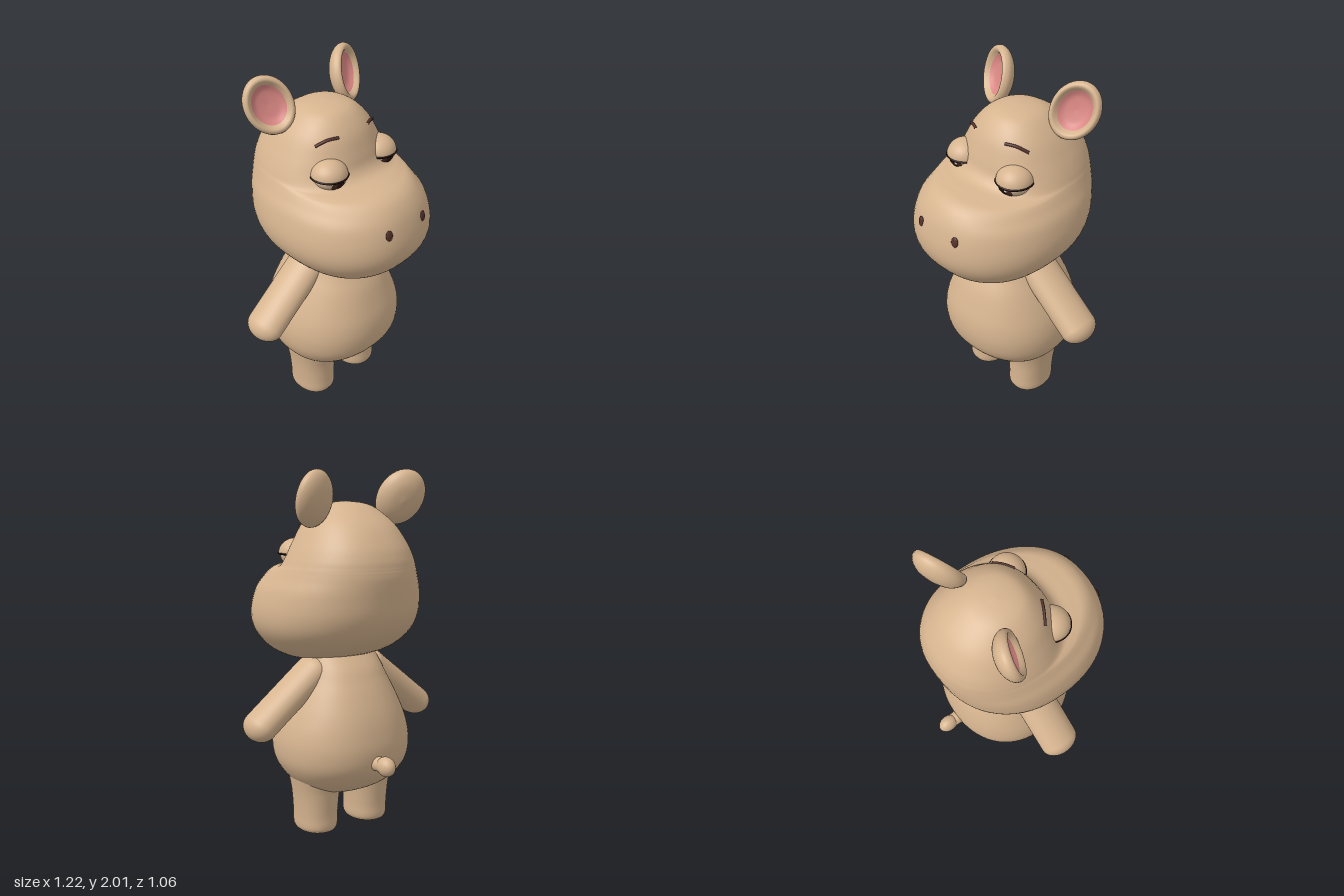
import * as THREE from 'three';
import { mergeVertices } from 'three/addons/utils/BufferGeometryUtils.js';

const material = (name, color) => {
  const m = new THREE.MeshStandardMaterial({ color });
  m.name = name;
  return m;
};

const POWER = 2.2; // roundness of the cross-sections

// Catmull-Rom blend of the section rows at parameter t (in row units)
function sample(rows, t) {
  const i = Math.min(Math.floor(t), rows.length - 2), u = t - i;
  const at = (k) => rows[Math.max(0, Math.min(rows.length - 1, k))];
  const [a, b, c, d] = [at(i - 1), at(i), at(i + 1), at(i + 2)];
  return b.map((v, k) => v + 0.5 * u * (c[k] - a[k] +
    u * (2 * a[k] - 5 * v + 4 * c[k] - d[k] + u * (3 * (v - c[k]) + d[k] - a[k]))));
}

// Skin over horizontal sections, top to bottom: [y, half width, front z, back z, centre z]
function loft(rows, bend = (p) => p, sides = 64, steps = 5) {
  const pos = [], index = [], count = (rows.length - 1) * steps;
  const pw = (v) => Math.sign(v) * Math.abs(v) ** (2 / POWER);
  for (let i = 0; i <= count; i++) {
    const [y, w, zf, zb, zc] = sample(rows, i / steps);
    for (let j = 0; j < sides; j++) {
      const a = (j / sides) * Math.PI * 2, s = Math.sin(a);
      const p = bend(new THREE.Vector3(Math.max(w, 0) * pw(Math.cos(a)), y,
        zc + Math.abs(pw(s)) * (s > 0 ? zf - zc : zb - zc)), s);
      pos.push(p.x, p.y, p.z);
      if (i === count) continue;
      const q = i * sides + j, r = i * sides + (j + 1) % sides;
      index.push(q, r, q + sides, r, r + sides, q + sides);
    }
  }
  let g = new THREE.BufferGeometry();
  g.setAttribute('position', new THREE.Float32BufferAttribute(pos, 3));
  g.setIndex(index);
  g = mergeVertices(g, 1e-5);
  g.computeVertexNormals();
  return g;
}

const headRows = [
  [1.84, 0, -0.08, -0.08, -0.08], [1.83, 0.09, 0.01, -0.17, -0.08],
  [1.8, 0.16, 0.075, -0.25, -0.08], [1.72, 0.24, 0.14, -0.36, -0.1],
  [1.62, 0.3, 0.18, -0.435, -0.11], [1.55, 0.335, 0.205, -0.465, -0.1],
  [1.51, 0.352, 0.25, -0.473, -0.09], [1.495, 0.36, 0.33, -0.475, -0.08],
  [1.48, 0.367, 0.405, -0.477, -0.07], [1.44, 0.385, 0.46, -0.478, -0.05],
  [1.36, 0.42, 0.505, -0.47, -0.02], [1.24, 0.44, 0.532, -0.45, 0.02],
  [1.14, 0.42, 0.52, -0.395, 0.05], [1.05, 0.35, 0.46, -0.29, 0.09],
  [0.99, 0.26, 0.385, -0.13, 0.13], [0.955, 0.15, 0.32, 0.06, 0.19],
  [0.94, 0, 0.23, 0.23, 0.23],
];
const bodyRows = [
  [1.03, 0.19, 0.14, -0.18, -0.03], [0.95, 0.22, 0.18, -0.25, -0.035],
  [0.88, 0.25, 0.22, -0.29, -0.035], [0.8, 0.29, 0.265, -0.33, -0.035],
  [0.7, 0.335, 0.302, -0.37, -0.035], [0.6, 0.37, 0.33, -0.395, -0.035],
  [0.5, 0.383, 0.335, -0.405, -0.035], [0.4, 0.367, 0.31, -0.385, -0.035],
  [0.31, 0.31, 0.235, -0.315, -0.035], [0.25, 0.23, 0.15, -0.23, -0.035],
  [0.215, 0.13, 0.07, -0.13, -0.035], [0.205, 0, -0.035, -0.035, -0.035],
];
const legRows = [
  [0.4, 0.16, 0.14, -0.23, -0.04], [0.28, 0.137, 0.112, -0.192, -0.04],
  [0.2, 0.125, 0.1, -0.18, -0.035], [0.1, 0.117, 0.1, -0.172, -0.035],
  [0.04, 0.115, 0.102, -0.172, -0.035], [0.015, 0.108, 0.095, -0.165, -0.035],
  [0.003, 0.09, 0.075, -0.145, -0.035], [0, 0, -0.035, -0.035, -0.035],
];

// Depth of the face surface at (x, y)
function faceZ(x, y) {
  let t = 0;
  while (t < headRows.length - 1.1 && sample(headRows, t)[0] > y) t += 0.02;
  const [, w, zf, , zc] = sample(headRows, t);
  return zc + (zf - zc) * (1 - Math.min(1, Math.abs(x) / w) ** POWER) ** (1 / POWER);
}

export function createModel() {
  const skin = material('skin', 0xd6b48f);
  const pink = material('inner ear pink', 0xd98783);
  const brown = material('dark brown', 0x54302a);
  const iris = material('iris brown', 0x4a2b24);
  const black = material('pupil black', 0x23130f);
  const sclera = material('eyeball tan', 0xdbbd9b);
  const glint = material('eye glint', 0xe8ddd2);

  const model = new THREE.Group();
  model.name = 'hippo';
  const add = (name, geometry, mat, parent = model) => {
    const mesh = new THREE.Mesh(geometry, mat);
    mesh.name = name;
    parent.add(mesh);
    return mesh;
  };

  // Head, with the top of the muzzle sagging towards the cheeks
  add('head', loft(headRows, (p, s) => {
    p.y -= 0.4 * p.x * p.x * Math.max(0, s) * Math.exp(-(((p.y - 1.47) / 0.08) ** 2));
    return p;
  }), skin);
  add('body', loft(bodyRows), skin);

  // Tail: short stalk with a bulb
  const stalk = add('tailStalk', new THREE.CylinderGeometry(0.036, 0.045, 0.12, 20), skin);
  stalk.rotation.x = -Math.PI / 2;
  stalk.position.set(0, 0.445, -0.42);
  const bulb = add('tailBulb', new THREE.SphereGeometry(1, 24, 16), skin);
  bulb.scale.set(0.046, 0.054, 0.062);
  bulb.position.set(0, 0.447, -0.47);

  // Ear bowl profile, split into the outer shell and the pink lining
  const lathe = (pts) => new THREE.LatheGeometry(
    new THREE.SplineCurve(pts.map(([r, y]) => new THREE.Vector2(r, y))).getPoints(24)
      .map((p) => new THREE.Vector2(Math.max(0, p.x), p.y)), 40)
    .rotateX(Math.PI / 2).scale(0.13, 0.16, 1);
  const earShell = lathe([[0, -0.065], [0.5, -0.056], [0.85, -0.028], [1, 0.006],
    [0.95, 0.035], [0.82, 0.04], [0.68, 0.016]]);
  const earLining = lathe([[0.68, 0.016], [0.45, -0.004], [0, -0.012]]);

  // Cap of a unit sphere facing +z
  const cap = (angle, r) => new THREE.SphereGeometry(r, 28, 8, 0, Math.PI * 2, 0, angle)
    .rotateX(Math.PI / 2);

  for (const [side, s] of [['left', 1], ['right', -1]]) {
    const leg = add(side + 'Leg', loft(legRows, undefined, 40), skin);
    leg.position.x = s * 0.172;

    // Arm: flattened capsule from shoulder to hand
    const from = new THREE.Vector3(s * 0.19, 0.92, -0.04);
    const to = new THREE.Vector3(s * 0.525, 0.652, -0.04);
    const arm = add(side + 'Arm',
      new THREE.CapsuleGeometry(0.084, from.distanceTo(to), 12, 32), skin);
    arm.position.copy(from).lerp(to, 0.5);
    arm.rotation.z = Math.atan2(from.x - to.x, to.y - from.y) + Math.PI;
    arm.rotation.z += Math.PI;
    arm.scale.z = 1.36;

    const ear = new THREE.Group();
    ear.name = side + 'Ear';
    ear.position.set(s * 0.275, 1.855, -0.215);
    ear.rotation.set(-0.3, s * 0.4, -s * 0.45, 'YXZ');
    add(side + 'EarShell', earShell, skin, ear);
    add(side + 'EarLining', earLining, pink, ear);
    model.add(ear);

    // Eye: ball, drooping lid with a dark edge, iris, pupil and glint
    const eye = new THREE.Group();
    eye.name = side + 'Eye';
    eye.position.set(s * 0.185, 1.552, 0.128);
    eye.scale.set(0.09, 0.078, 0.09);
    add(side + 'Eyeball', new THREE.SphereGeometry(1, 32, 20), sclera, eye);
    add(side + 'Eyelid',
      new THREE.SphereGeometry(1.1, 32, 12, 0, Math.PI * 2, 0, Math.PI / 2), skin, eye);
    const lash = add(side + 'LidEdge', new THREE.TorusGeometry(1.08, 0.07, 8, 48), black, eye);
    lash.rotation.x = Math.PI / 2;
    add(side + 'Iris', cap(0.6, 1.03), iris, eye).rotation.x = 0.38;
    add(side + 'Pupil', cap(0.3, 1.05), black, eye).rotation.x = 0.32;
    add(side + 'Glint', cap(0.08, 1.07), glint, eye).rotation.set(0.2, 0.25, 0);
    model.add(eye);

    // Brow: thin arc lying on the forehead
    const browPts = [[0.105, 1.728], [0.16, 1.722], [0.213, 1.695]].map(([x, y]) =>
      new THREE.Vector3(s * x, y, faceZ(x, y) + 0.003));
    add(side + 'Brow', new THREE.TubeGeometry(
      new THREE.CatmullRomCurve3(browPts), 16, 0.008, 8), brown);

    // Nostril: small oval plate on the muzzle
    const nostril = add(side + 'Nostril', new THREE.SphereGeometry(1, 20, 12), brown);
    nostril.scale.set(0.021, 0.029, 0.008);
    nostril.position.set(s * 0.13, 1.322, faceZ(0.13, 1.322));
    nostril.rotation.set(-0.2, s * 0.2, 0);
  }
  return model;
}
